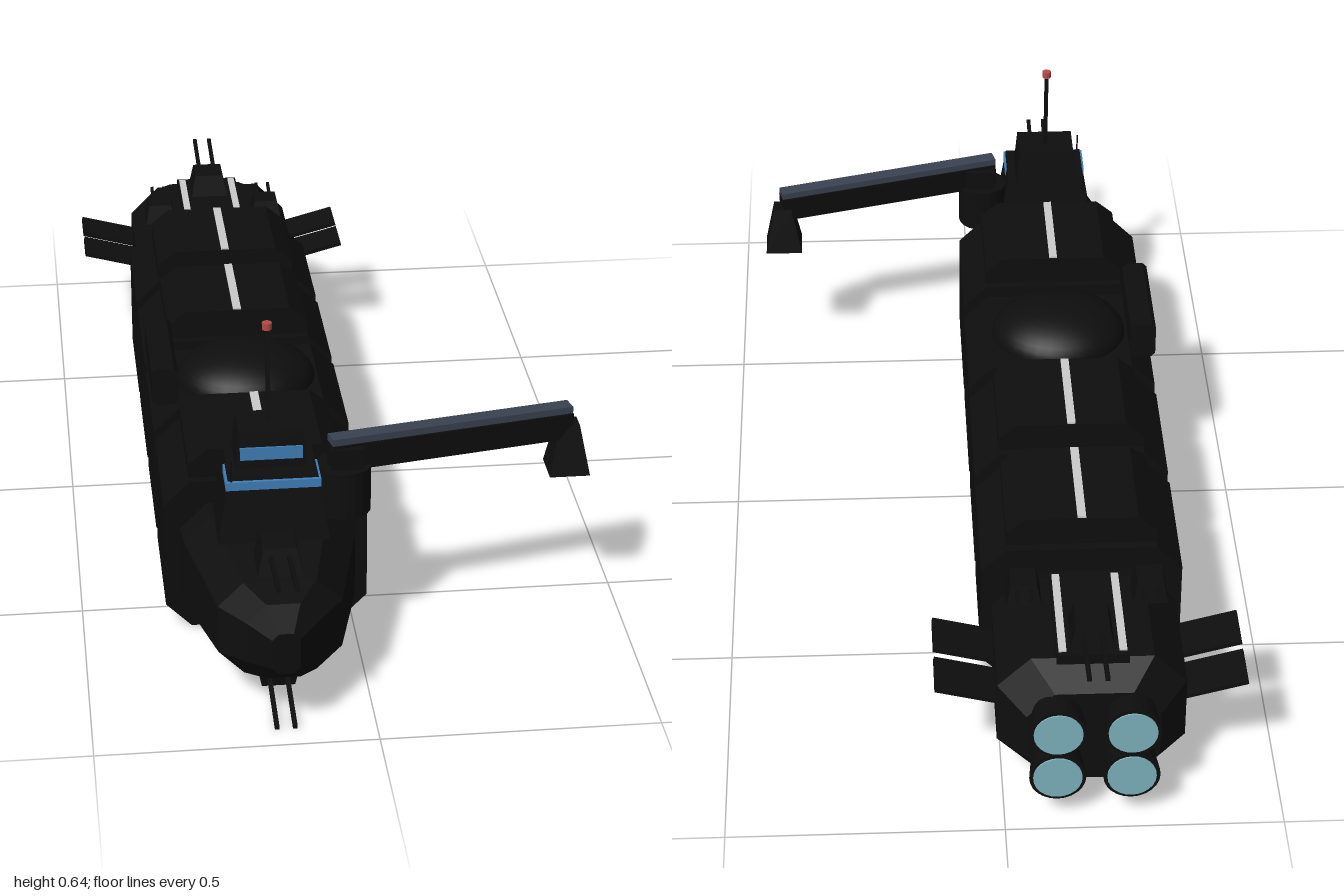
import * as THREE from 'three';

const paint = (color) => new THREE.MeshStandardMaterial({ color, flatShading: true, side: THREE.DoubleSide });

// Chamfered rectangle, counter-clockwise: half width, bottom, top, chamfer
function octagon(hw, y0, y1, c) {
  return [
    [hw, y0 + c], [hw, y1 - c], [hw - c, y1], [-hw + c, y1],
    [-hw, y1 - c], [-hw, y0 + c], [-hw + c, y0], [hw - c, y0],
  ];
}

// Closed hull through sections [z, ring], given with rising z
function loft(sections) {
  const pos = [];
  const n = sections[0][1].length;
  const pt = (s, i) => [...sections[s][1][i % n], sections[s][0]];
  const tri = (...p) => p.forEach((q) => pos.push(...q));
  const last = sections.length - 1;
  for (let s = 0; s < last; s++) {
    for (let i = 0; i < n; i++) {
      tri(pt(s, i), pt(s, i + 1), pt(s + 1, i + 1));
      tri(pt(s, i), pt(s + 1, i + 1), pt(s + 1, i));
    }
  }
  for (let i = 1; i < n - 1; i++) {
    tri(pt(last, 0), pt(last, i), pt(last, i + 1));
    tri(pt(0, 0), pt(0, i + 1), pt(0, i));
  }
  const g = new THREE.BufferGeometry();
  g.setAttribute('position', new THREE.Float32BufferAttribute(pos, 3));
  g.computeVertexNormals();
  return g;
}

// Box whose top is scaled in x and z
function taperedBox(w, h, d, sx, sz) {
  const g = new THREE.BoxGeometry(w, h, d);
  const p = g.attributes.position;
  for (let i = 0; i < p.count; i++) {
    if (p.getY(i) > 0) p.setXYZ(i, p.getX(i) * sx, p.getY(i), p.getZ(i) * sz);
  }
  g.computeVertexNormals();
  return g;
}

export function createModel() {
  const hull = paint(0x0e0e0e), blue = paint(0x3f80b8), white = paint(0xcccccc);
  const glow = paint(0x7fb3bf), red = paint(0xb84a4a), slate = paint(0x3a4252);
  const model = new THREE.Group();
  const ship = new THREE.Group();
  ship.name = 'freighter';
  ship.position.x = -0.16;
  model.add(ship);

  function add(name, geometry, material, x = 0, y = 0, z = 0, parent = ship) {
    const mesh = new THREE.Mesh(geometry, material);
    mesh.name = name;
    mesh.position.set(x, y, z);
    parent.add(mesh);
    return mesh;
  }
  const box = (name, w, h, d, x, y, z, mat = hull, parent = ship) =>
    add(name, new THREE.BoxGeometry(w, h, d), mat, x, y, z, parent);

  // Box bar between two points
  function bar(name, a, b, w, h, mat = hull, parent = ship) {
    const from = new THREE.Vector3(...a), to = new THREE.Vector3(...b);
    const mesh = new THREE.Mesh(new THREE.BoxGeometry(w, h, from.distanceTo(to)), mat);
    mesh.name = name;
    mesh.position.copy(from).lerp(to, 0.5);
    mesh.lookAt(to);
    parent.add(mesh);
  }

  // Spine and the four cargo containers
  box('spine', 0.1, 0.09, 1.24, 0, 0.162, 0);
  [0.448, 0.149, -0.149, -0.449].forEach((z, i) => {
    const ring = octagon(0.187, 0.011, 0.311, 0.047);
    add('container', loft([[-0.131, ring], [0.131, ring]]), hull, 0, 0, z);
    if (i === 1) {
      const dome = new THREE.SphereGeometry(0.135, 32, 10, 0, Math.PI * 2, 0, Math.PI / 2).scale(1, 0.5, 0.93);
      add('dome', dome, new THREE.MeshStandardMaterial({ color: 0x0e0e0e }), 0, 0.31, z);
    } else {
      const lid = [[0.14, 0.305], [0.14, 0.338], [0.105, 0.367], [-0.105, 0.367], [-0.14, 0.338], [-0.14, 0.305]];
      add('lid', loft([[-0.113, lid], [0.113, lid]]), hull, 0, 0, z);
      box('lidStripe', 0.016, 0.004, 0.22, 0, 0.368, z, white);
    }
  });

  // Loose cargo pod beside the dome
  const pod = octagon(0.025, 0.318, 0.392, 0.008);
  add('cargoPod', loft([[-0.116, pod], [0.116, pod]]), hull, -0.163, 0, 0.155);

  // Nose
  add('nose', loft([
    [0.605, octagon(0.16, 0.05, 0.28, 0.05)],
    [0.65, octagon(0.156, 0.05, 0.278, 0.05)],
    [0.85, octagon(0.11, 0.068, 0.25, 0.045)],
    [0.91, octagon(0.065, 0.09, 0.238, 0.035)],
    [0.965, octagon(0.025, 0.13, 0.21, 0.012)],
  ]), hull);

  // Stern block
  add('stern', loft([
    [-0.925, octagon(0.12, 0.06, 0.255, 0.05)],
    [-0.87, octagon(0.17, 0.05, 0.293, 0.06)],
    [-0.64, octagon(0.17, 0.05, 0.293, 0.06)],
    [-0.597, octagon(0.15, 0.075, 0.278, 0.05)],
  ]), hull);
  box('sternDeck', 0.13, 0.02, 0.24, 0, 0.296, -0.76);

  // Stern stripes, fins and engines, mirrored
  for (const s of [-1, 1]) {
    box('sternStripe', 0.014, 0.006, 0.22, s * 0.054, 0.306, -0.76, white);
    for (const z of [-0.825, -0.713]) {
      const fin = box('fin', 0.16, 0.008, 0.09, s * 0.203, 0.205, z);
      fin.rotation.z = s * 0.26;
    }
    for (const y of [0.107, 0.206]) {
      const bell = new THREE.CylinderGeometry(0.042, 0.051, 0.08, 24).rotateX(Math.PI / 2);
      bell.rotateY(0);
      add('engine', bell.scale(1, 1, -1).rotateY(Math.PI), hull, s * 0.066, y, -0.935);
      add('engineGlow', new THREE.CylinderGeometry(0.044, 0.044, 0.006, 24).rotateX(Math.PI / 2), glow, s * 0.066, y, -0.975);
    }
  }

  // Twin-barrel turrets: dir is the way they face, up is -1 when hung below
  function turret(x, y, z, size, reach, dir, up = 1, rise = 0.025) {
    const t = new THREE.Group();
    t.name = 'turret';
    t.position.set(x, y, z);
    const body = add('turretBody', taperedBox(0.08 * size, 0.05 * size, 0.09 * size, 0.75, 0.75), hull, 0, 0, 0, t);
    if (up < 0) body.rotation.z = Math.PI;
    for (const s of [-1, 1]) {
      bar('barrel', [s * 0.016 * size, 0.004 * up, 0], [s * 0.016 * size, rise * up, dir * reach], 0.008 * size, 0.008 * size, hull, t);
    }
    ship.add(t);
  }
  turret(0, 0.292, 0.82, 1, 0.18, 1);
  turret(0, 0.037, 0.775, 1, 0.175, 1, -1);
  turret(0, 0.326, -0.82, 1, 0.18, -1);
  turret(-0.115, 0.316, -0.69, 0.8, 0.075, -1, 1, 0.02);
  turret(0.115, 0.316, -0.69, 0.8, 0.075, -1, 1, 0.02);

  // Bridge tower
  add('bridgeBase', taperedBox(0.2, 0.125, 0.15, 0.8, 0.8), hull, 0, 0.334, 0.672);
  box('lowerWindow', 0.17, 0.016, 0.075, 0, 0.382, 0.702, blue);
  add('bridgeTop', taperedBox(0.128, 0.072, 0.1, 0.9, 0.85), hull, 0, 0.429, 0.65);
  box('upperWindow', 0.112, 0.024, 0.012, 0, 0.424, 0.693, blue);
  bar('mast', [0, 0.46, 0.646], [0, 0.638, 0.628], 0.008, 0.008);
  add('mastLight', new THREE.CylinderGeometry(0.009, 0.009, 0.013, 12), red, 0, 0.641, 0.628);
  bar('whip', [-0.075, 0.39, 0.735], [-0.075, 0.43, 0.735], 0.003, 0.003);

  // Crane: pedestal, boom with top rail, grapple
  add('cranePedestal', new THREE.CylinderGeometry(0.05, 0.05, 0.09, 20), hull, 0.135, 0.325, 0.645);
  box('craneNeck', 0.06, 0.05, 0.06, 0.14, 0.385, 0.645);
  bar('boom', [0.11, 0.39, 0.655], [0.565, 0.379, 0.546], 0.036, 0.05);
  bar('boomRail', [0.11, 0.422, 0.655], [0.565, 0.411, 0.546], 0.03, 0.013, slate);
  add('grapple', taperedBox(0.075, 0.095, 0.075, 0.5, 0.5), hull, 0.5625, 0.333, 0.546);

  return model;
}
